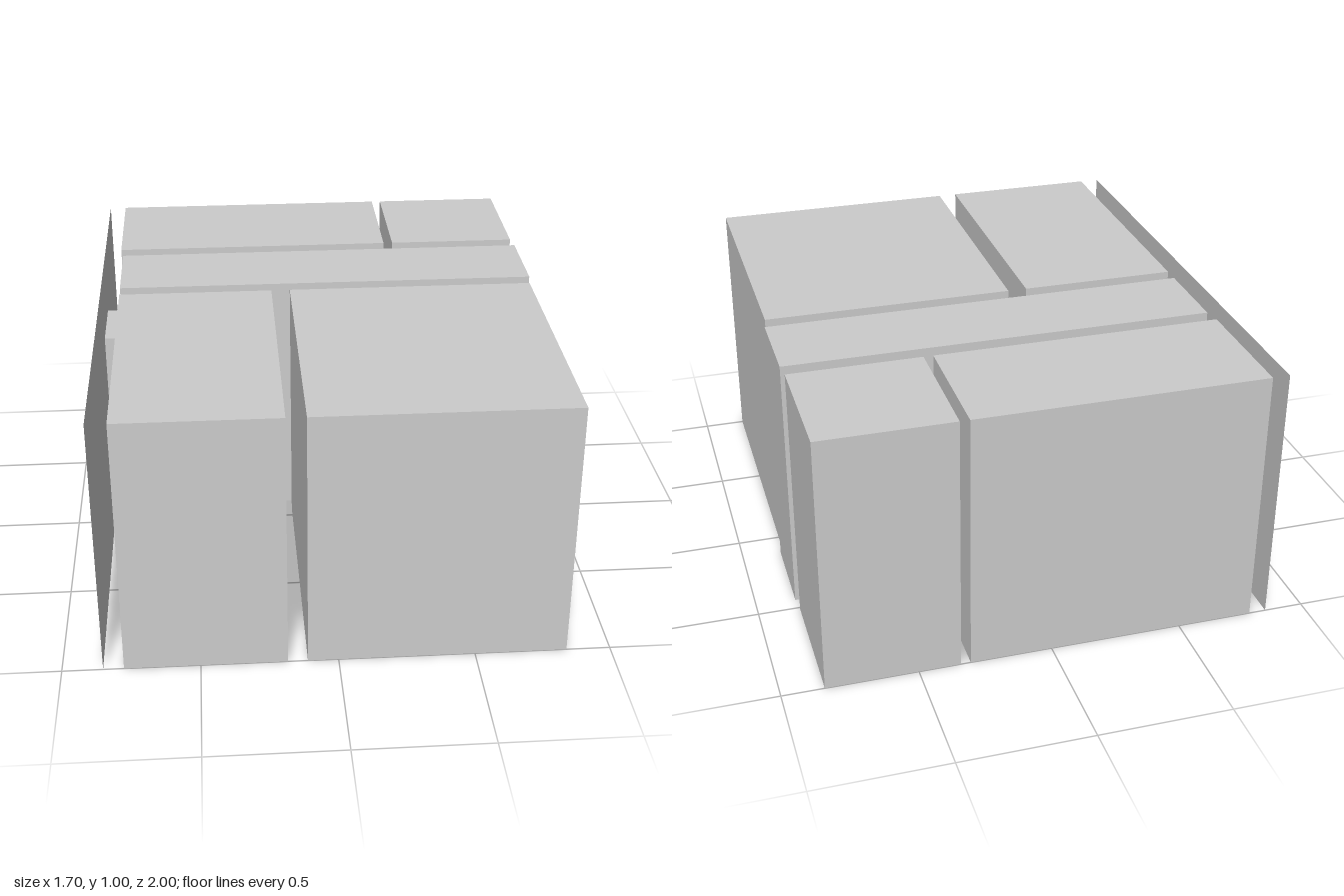
import * as THREE from 'three';

const H = 1.005;   // ceiling height
const DOOR = 0.775; // door height

export function createModel() {
  const model = new THREE.Group();
  model.name = 'floorPlan';
  const mat = new THREE.MeshStandardMaterial({ color: 0xcccccc, side: THREE.DoubleSide, flatShading: true });

  const add = (parent, name, geo) => {
    const mesh = new THREE.Mesh(geo, mat);
    mesh.name = name;
    parent.add(mesh);
  };

  // Thin upright panel from a to b along an axis, notched at each doorway [from, to]
  const wall = (parent, name, axis, at, a, b, doors = [], h = H) => {
    const s = new THREE.Shape();
    s.moveTo(a, 0);
    for (const [d0, d1] of doors) {
      s.lineTo(d0, 0);
      s.lineTo(d0, DOOR);
      s.lineTo(d1, DOOR);
      s.lineTo(d1, 0);
    }
    s.lineTo(b, 0);
    s.lineTo(b, h);
    s.lineTo(a, h);
    s.closePath();
    const geo = new THREE.ShapeGeometry(s);
    if (axis === 'x') geo.translate(0, 0, at);
    else geo.rotateY(-Math.PI / 2).translate(at, 0, 0);
    add(parent, name, geo);
  };

  // Level panel over a rectangle
  const cover = (parent, name, x0, x1, z0, z1, y) => {
    const geo = new THREE.PlaneGeometry(x1 - x0, z1 - z0);
    geo.rotateX(-Math.PI / 2).translate((x0 + x1) / 2, y, (z0 + z1) / 2);
    add(parent, name, geo);
  };

  // Hollow room, open underneath, with doorways listed per wall
  const room = (name, x0, x1, z0, z1, doors = {}) => {
    const g = new THREE.Group();
    g.name = name;
    wall(g, 'backWall', 'x', z0, x0, x1, doors.back);
    wall(g, 'frontWall', 'x', z1, x0, x1, doors.front);
    wall(g, 'rightWall', 'z', x0, z0, z1, doors.right);
    wall(g, 'leftWall', 'z', x1, z0, z1, doors.left);
    cover(g, 'ceiling', x0, x1, z0, z1, H);
    model.add(g);
  };

  // Door lining between two walls: two jambs and a head
  const lining = (name, x0, x1, z0, z1, alongX) => {
    const g = new THREE.Group();
    g.name = name;
    const [axis, a, b, ends] = alongX ? ['x', x0, x1, [z0, z1]] : ['z', z0, z1, [x0, x1]];
    for (const at of ends) wall(g, 'jamb', axis, at, a, b, [], DOOR);
    cover(g, 'doorHead', x0, x1, z0, z1, DOOR);
    model.add(g);
  };

  // Doorway spans
  const backDoors = [[-0.015, 0.245], [0.355, 0.615]];
  const frontDoors = [[-0.515, -0.23], [0.203, 0.478]];
  const entry = [-0.415, -0.143];

  // Rooms and hallway
  const zBack = -0.51, hall0 = -0.447, hall1 = -0.115, zFront = -0.053;
  room('backRightRoom', -0.787, 0.307, -1, zBack, { front: [backDoors[0]] });
  room('backLeftRoom', 0.343, 0.843, -1, zBack, { front: [backDoors[1]] });
  room('hallway', -0.777, 0.85, hall0, hall1, { back: backDoors, front: frontDoors, right: [entry] });
  room('frontRightRoom', -0.777, -0.184, zFront, 1, { back: [frontDoors[0]] });
  room('frontLeftRoom', -0.112, 0.839, zFront, 1, { back: [frontDoors[1]] });

  // Door linings
  for (const [a, b] of backDoors) lining('backDoorway', a, b, zBack, hall0, false);
  for (const [a, b] of frontDoors) lining('frontDoorway', a, b, hall1, zFront, false);
  lining('entryDoorway', -0.852, -0.777, entry[0], entry[1], true);

  // Outer facade with the entry opening
  wall(model, 'outerWall', 'z', -0.852, -1, 1, [entry]);

  return model;
}
